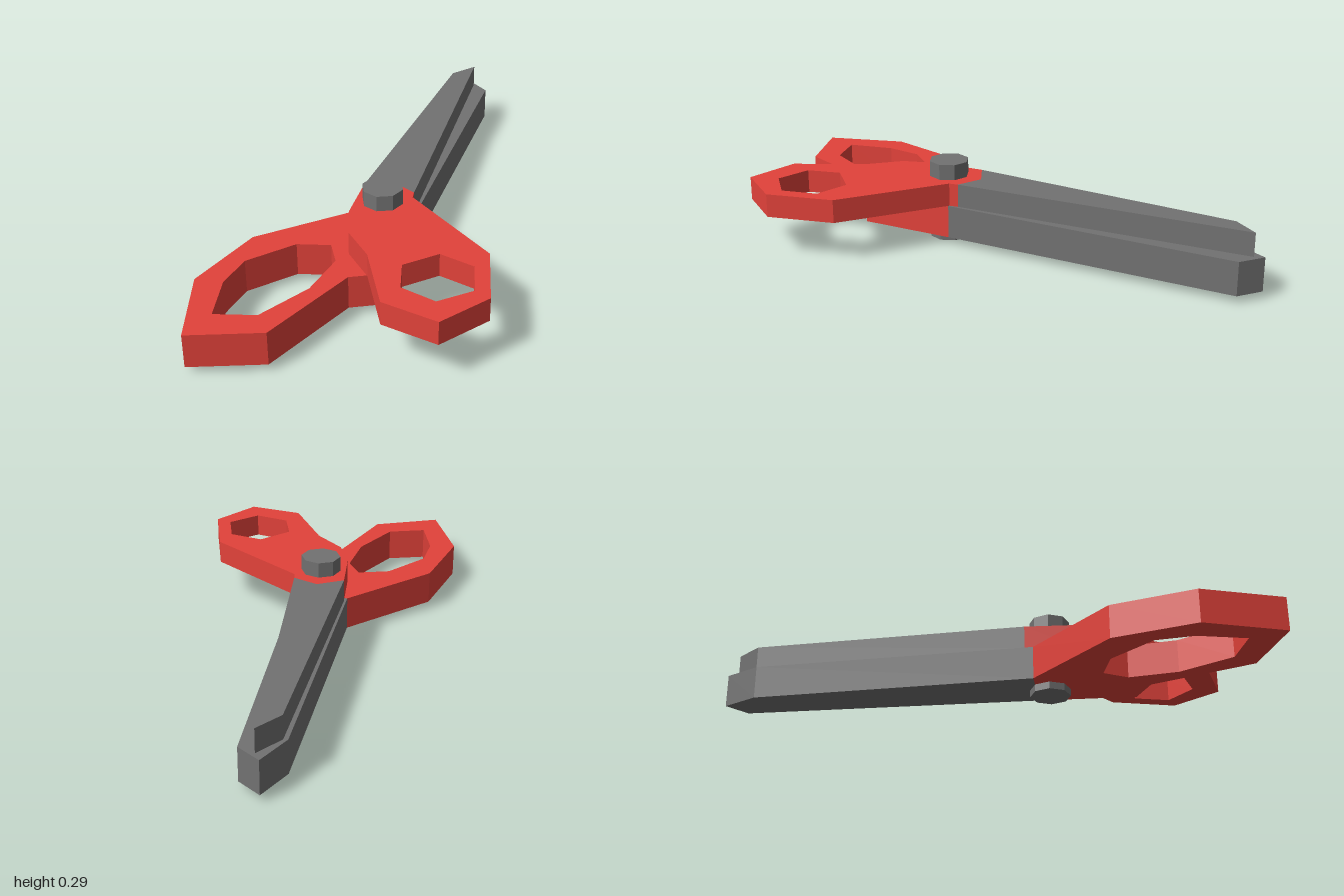
import * as THREE from 'three';

const red = new THREE.MeshStandardMaterial({ color: 0xe2423a, flatShading: true });
const steel = new THREE.MeshStandardMaterial({ color: 0x727272, flatShading: true });

// Flat plate from a clockwise outline in (x, z) and a counter-clockwise hole, between heights y0 and y1
function plate(name, material, y0, y1, outline, hole) {
  const toPoints = (list) => list.map(([x, z]) => new THREE.Vector2(x, -z));
  const shape = new THREE.Shape(toPoints(outline));
  if (hole) shape.holes.push(new THREE.Path(toPoints(hole)));
  const geometry = new THREE.ExtrudeGeometry(shape, { depth: y1 - y0, bevelEnabled: false });
  geometry.rotateX(-Math.PI / 2).translate(0, y0, 0);
  const mesh = new THREE.Mesh(geometry, material);
  mesh.name = name;
  return mesh;
}

export function createModel() {
  const model = new THREE.Group();
  model.name = 'scissors';

  // Lower half: thick blade and the large finger loop
  const lower = new THREE.Group();
  lower.name = 'lowerHalf';
  lower.add(
    plate('lowerBlade', steel, 0.026, 0.148,
      [[0.035, -1], [0.112, -0.935], [0.095, 0.155], [-0.105, 0.148], [-0.033, -0.875]]),
    plate('fingerHandle', red, 0.026, 0.148,
      [[0.095, 0.155], [0.095, 0.51], [-0.01, 0.56], [-0.155, 0.915], [-0.4, 1],
        [-0.487, 0.71], [-0.4, 0.42], [-0.105, 0.148]],
      [[-0.37, 0.565], [-0.39, 0.7], [-0.355, 0.872], [-0.215, 0.837], [-0.11, 0.655],
        [-0.08, 0.48], [-0.125, 0.393], [-0.24, 0.42]])
  );

  // Upper half: thinner blade and the small thumb loop
  const upper = new THREE.Group();
  upper.name = 'upperHalf';
  upper.add(
    plate('upperBlade', steel, 0.15, 0.235,
      [[0.053, -0.967], [0.09, 0.117], [0, 0.07], [-0.095, 0.117], [-0.018, -0.88]]),
    plate('thumbHandle', red, 0.15, 0.235,
      [[0, 0.07], [0.09, 0.117], [0.094, 0.15], [0.43, 0.425], [0.487, 0.667], [0.365, 0.83],
        [0.167, 0.78], [0.05, 0.54], [-0.05, 0.43], [-0.09, 0.3], [-0.095, 0.117]],
      [[0.205, 0.688], [0.33, 0.73], [0.43, 0.642], [0.4, 0.512], [0.275, 0.472], [0.175, 0.567]])
  );

  // Pivot bolt through both halves
  const bolt = new THREE.Mesh(new THREE.CylinderGeometry(0.073, 0.073, 0.292, 8), steel);
  bolt.name = 'pivotBolt';
  bolt.position.set(0.001, 0.146, 0.202);

  model.add(lower, upper, bolt);
  return model;
}
